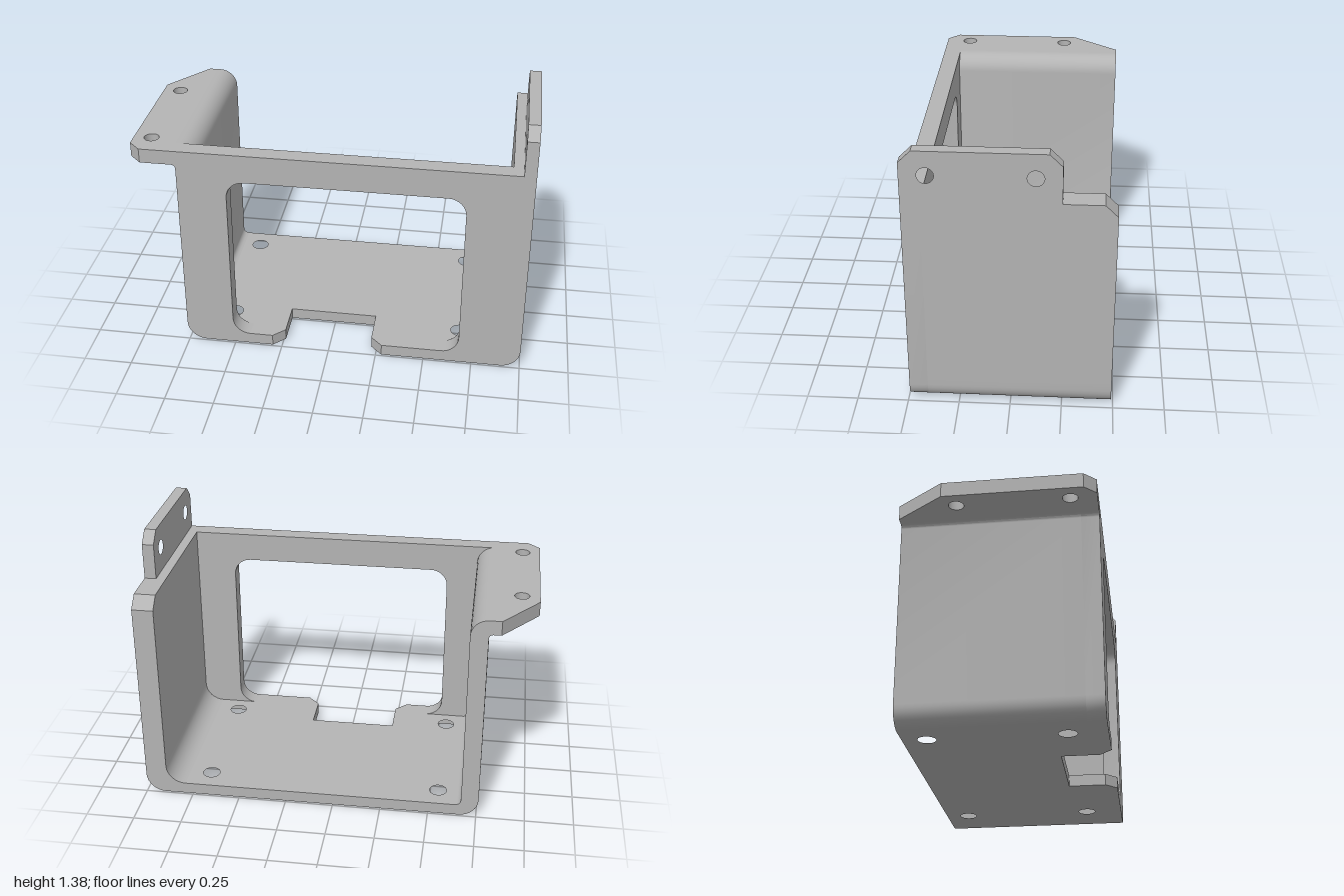
import * as THREE from 'three';
import { toCreasedNormals } from 'three/addons/utils/BufferGeometryUtils.js';

const HALF = Math.PI / 2;
const BACK = -0.49, FRONT = 0.49, INNER = 0.4; // z of back edge, front face, rear of front plate
const TOP = 1.13, FLOOR = 0.06;

// Closed shape from points; holes are [x, y, radius]
function polygon(points, holes = []) {
  const shape = new THREE.Shape(points.map(([x, y]) => new THREE.Vector2(x, y)));
  for (const [x, y, r] of holes) {
    shape.holes.push(new THREE.Path().absarc(x, y, r, 0, Math.PI * 2, true));
  }
  return shape;
}

// Points of a quarter arc, angles counted in quarter turns
function arc(cx, cy, r, from, to, steps = 8) {
  return Array.from({ length: steps + 1 }, (_, i) => {
    const a = (from + (to - from) * i / steps) * HALF;
    return [cx + r * Math.cos(a), cy + r * Math.sin(a)];
  });
}

const flipFirst = (list) => list.map(([z, ...rest]) => [-z, ...rest]);
const flipSecond = (list) => list.map(([x, z, ...rest]) => [x, -z, ...rest]);

export function createModel() {
  const group = new THREE.Group();
  group.name = 'mountingBracket';
  const grey = new THREE.MeshStandardMaterial({ color: 0xb4b4b4 });
  grey.name = 'grey';

  const extrude = (shape, depth) =>
    new THREE.ExtrudeGeometry(shape, { depth, bevelEnabled: false, curveSegments: 10 });
  function add(name, geometry) {
    const mesh = new THREE.Mesh(toCreasedNormals(geometry, 0.6), grey);
    mesh.name = name;
    group.add(mesh);
  }
  // Profile in x, y running along z
  const alongZ = (name, points, z0, z1) =>
    add(name, extrude(polygon(points), z1 - z0).translate(0, 0, z0));
  // Plan in x, z with height along y
  const alongY = (name, points, holes, y0, y1) =>
    add(name, extrude(polygon(flipSecond(points), flipSecond(holes)), y1 - y0)
      .rotateX(-HALF).translate(0, y0, 0));
  // Side outline in z, y with width along x
  const alongX = (name, points, holes, x0, x1) =>
    add(name, extrude(polygon(flipFirst(points), flipFirst(holes)), x1 - x0)
      .rotateY(HALF).translate(x0, 0, 0));

  // Floor with four screw holes and a notch that flares at the front edge
  const floorHoles = [];
  for (const x of [-0.545, 0.675]) for (const z of [-0.37, 0.3]) floorHoles.push([x, z, 0.045]);
  alongY('floor', [
    [-0.64, BACK], [0.79, BACK], [0.79, INNER], [0.59, INNER], [0.59, FRONT],
    [0.28, FRONT], [0.22, 0.43], [0.22, 0.24], [-0.24, 0.24], [-0.24, 0.43],
    [-0.3, FRONT], [-0.42, FRONT], [-0.42, INNER], [-0.64, INNER],
  ], floorHoles, 0, FLOOR);

  // Left wall: bends out of the floor and rolls over into the flange
  alongZ('leftWall', [
    [-0.64, 0], ...arc(-0.66, 0.1, 0.1, 3, 2), ...arc(-0.78, 1.035, 0.02, 0, 1, 4),
    [-0.78, TOP], ...arc(-0.76, 1.04, 0.09, 1, 0), ...arc(-0.64, 0.09, 0.03, 2, 3, 4),
  ], BACK, INNER);

  // Flange with cut corners and two screw holes
  alongY('leftFlange', [
    [-0.78, BACK], [-0.82, BACK], [-1, -0.25], [-1, 0.43], [-0.94, FRONT], [-0.78, FRONT],
  ], [[-0.91, -0.19, 0.038], [-0.91, 0.36, 0.038]], 1.055, TOP);

  // Right wall: rounded foot, upright and drilled tab
  alongZ('rightWallFoot', [
    [0.79, 0], ...arc(0.9, 0.1, 0.1, 3, 4), [1, 0.16], ...arc(0.79, 0.16, 0.1, 0, -1),
  ], BACK, INNER);
  alongX('rightWall', [
    [INNER, 0.16], [INNER, TOP], [-0.43, TOP], [BACK, 1.07], [BACK, 0.16],
  ], [], 0.89, 1);
  alongX('rightTab', [
    [FRONT, TOP], [FRONT, 1.315], [0.43, 1.375], [-0.18, 1.375], [-0.24, 1.315], [-0.24, TOP],
  ], [[0.37, 1.255, 0.039], [-0.12, 1.255, 0.039]], 0.94, 1);

  // Front plate around the rounded window; the floor closes its lower edge
  alongZ('frontPlate', [
    [-0.42, 0], ...arc(-0.66, 0.1, 0.1, 3, 2), ...arc(-0.78, 1.035, 0.02, 0, 1, 4),
    [-0.78, TOP], [1, TOP], ...arc(0.9, 0.1, 0.1, 0, -1), [0.59, 0],
    ...arc(0.59, 0.15, 0.09, -1, 0), ...arc(0.59, 0.89, 0.09, 0, 1),
    ...arc(-0.42, 0.89, 0.09, 1, 2), ...arc(-0.42, 0.15, 0.09, 2, 3),
  ], INNER, FRONT);

  return group;
}
